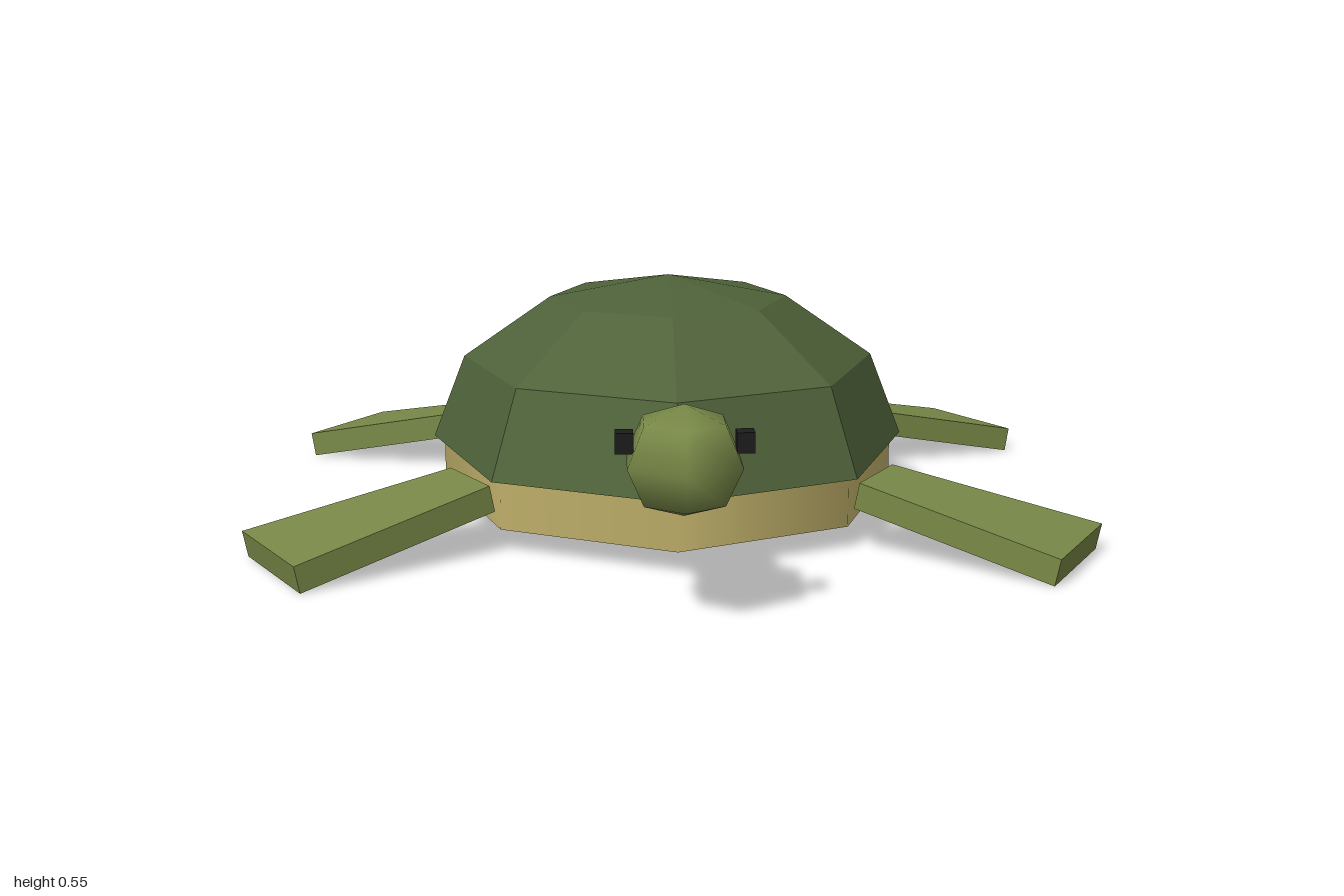
import * as THREE from 'three';

const CENTER_Z = -0.12; // middle of the shell

function material(name, color, extra = {}) {
  const m = new THREE.MeshStandardMaterial({ color, ...extra });
  m.name = name;
  return m;
}

export function createModel() {
  const model = new THREE.Group();
  model.name = 'turtle';
  const shellGreen = material('shell green', 0x4f6239, { flatShading: true });
  const skinGreen = material('skin green', 0x788847);
  const bellyTan = material('belly tan', 0xc0b06a);
  const eyeBlack = material('eye black', 0x1c1c1c);

  function add(name, geometry, mat, x = 0, y = 0, z = 0) {
    const mesh = new THREE.Mesh(geometry, mat);
    mesh.name = name;
    mesh.position.set(x, y, z);
    model.add(mesh);
    return mesh;
  }

  // Tapered tube lying in the x = 0 plane, between two [y, z] points
  function limb(name, from, to, r0, r1, sides, flatten = 1) {
    const a = new THREE.Vector3(0, ...from);
    const b = new THREE.Vector3(0, ...to);
    const geometry = new THREE.CylinderGeometry(r1, r0, a.distanceTo(b), sides);
    geometry.scale(1, 1, flatten);
    const mesh = add(name, geometry, skinGreen);
    mesh.position.copy(a).lerp(b, 0.5);
    mesh.quaternion.setFromUnitVectors(new THREE.Vector3(0, 1, 0), b.sub(a).normalize());
    return mesh;
  }

  // Faceted dome and its flat underside
  const dome = new THREE.SphereGeometry(1, 8, 3, 0, Math.PI * 2, 0, Math.PI / 2);
  dome.scale(0.565, 0.39, 0.68);
  add('shell', dome, shellGreen, 0, 0.16, CENTER_Z);
  const rim = new THREE.CircleGeometry(1, 8).rotateX(Math.PI / 2).scale(0.565, 1, 0.68);
  add('shellUnderside', rim, shellGreen, 0, 0.16, CENTER_Z);

  // Belly plate
  const belly = new THREE.CylinderGeometry(1, 1, 0.11, 8).scale(0.54, 1, 0.662);
  add('belly', belly, bellyTan, 0, 0.105, CENTER_Z);

  // Neck, head and eyes
  limb('neck', [0.226, 0.485], [0.292, 0.75], 0.1, 0.085, 8);
  const head = new THREE.SphereGeometry(1, 6, 4).rotateY(Math.PI / 2).scale(0.127, 0.11, 0.155);
  // The ring corners must point along z, so the snout comes to a point
  head.rotateY(0);
  head.scale(1 / 0.127, 1 / 0.11, 1 / 0.155).rotateY(0).scale(0.127, 0.11, 0.155);
  add('head', head, skinGreen, 0, 0.32, 0.845);
  for (const side of [1, -1]) {
    add(side > 0 ? 'leftEye' : 'rightEye', new THREE.BoxGeometry(0.035, 0.04, 0.04),
      eyeBlack, side * 0.115, 0.365, 0.88);
  }

  // Tail: flattened four-sided spike
  limb('tail', [0.15, -0.74], [0.1, -1], 0.078, 0.01, 4, 0.75);

  // Flippers: boxes that widen outwards and slope to the ground
  const flipper = new THREE.BoxGeometry(0.48, 0.06, 1);
  const p = flipper.attributes.position;
  for (let i = 0; i < p.count; i++) p.setZ(i, p.getZ(i) * (p.getX(i) > 0 ? 0.32 : 0.2));
  flipper.computeVertexNormals();
  flipper.rotateZ(-0.2);
  const angle = 0.51;
  for (const side of [1, -1]) {
    for (const end of [1, -1]) {
      const name = (end > 0 ? 'front' : 'back') + (side > 0 ? 'Left' : 'Right') + 'Flipper';
      const mesh = add(name, flipper, skinGreen, side * 0.652, 0.077, CENTER_Z + end * 0.515);
      mesh.rotation.y = side > 0 ? -end * angle : Math.PI + end * angle;
    }
  }
  return model;
}
